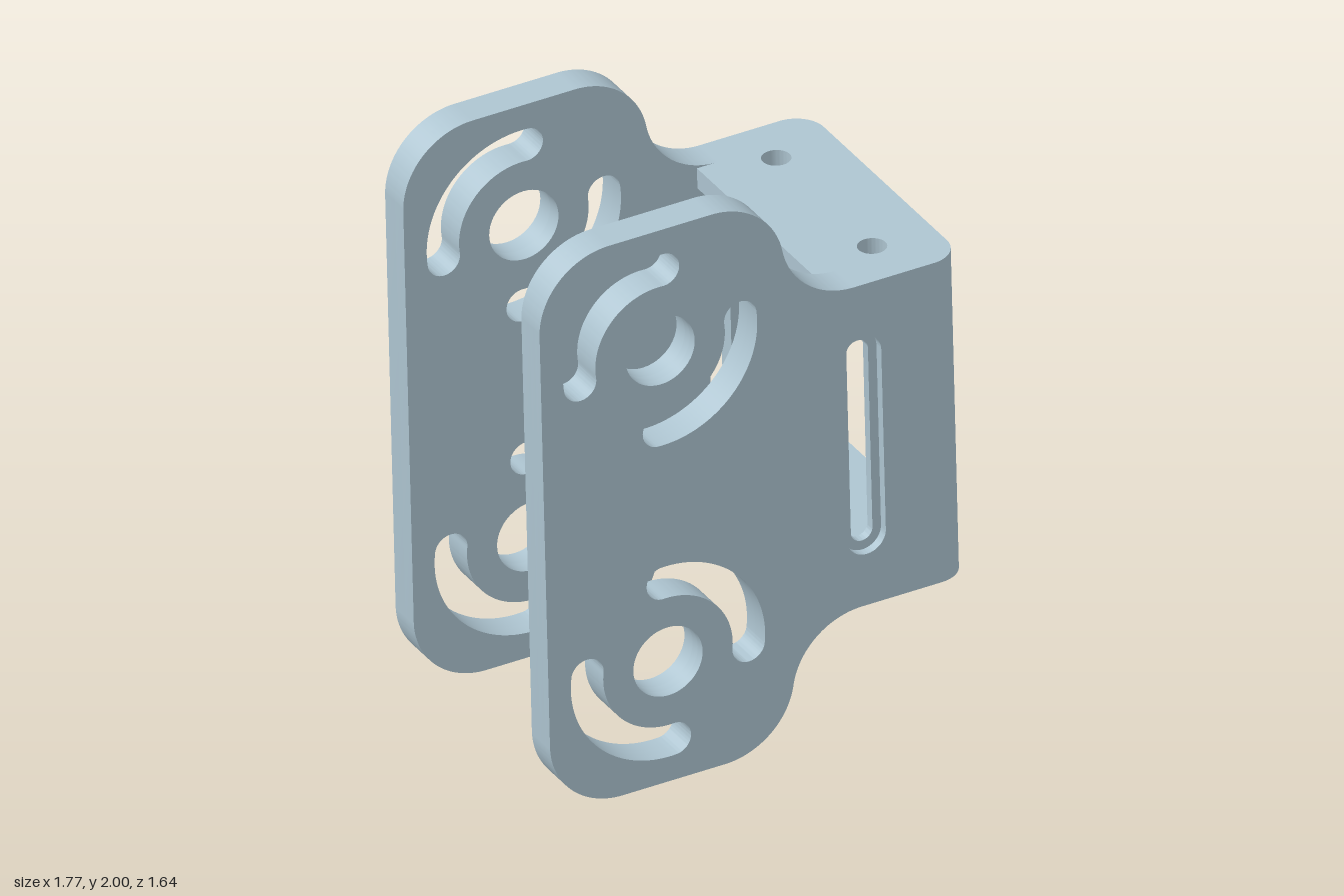
import * as THREE from 'three';
import { toCreasedNormals } from 'three/addons/utils/BufferGeometryUtils.js';

const PI = Math.PI;
// Local axes: x runs from the open end to the back, y up, z across the bracket
const FRONT = -0.71, BEND = 0.675, BACK = 0.775;
const TALL = 0.99, NECK = 0.575, POCKET_H = 0.503;
const HALF_W = 0.493, INNER = 0.377, POCKET_W = 0.43, RECESS = 0.462;
const HOLE_X = -0.29, HOLE_Y = 0.56, SLOT_X = 0.415;

// Side plate outline; the pocketed version leaves only thin strips along the neck
function plateOutline(pocketed) {
  const r = 0.25, cy = TALL - r, cx = -0.1;
  const phi = Math.acos(1 - (TALL - NECK) / (2 * r));
  const cx2 = cx + 2 * r * Math.sin(phi), cy2 = NECK + r;
  const s = new THREE.Shape();
  s.moveTo(FRONT + r, -TALL);
  s.absarc(cx, -cy, r, -PI / 2, -PI / 2 + phi, false);
  s.absarc(cx2, -cy2, r, PI / 2 + phi, PI / 2, true);
  s.lineTo(BEND, -NECK);
  if (pocketed) {
    s.lineTo(BEND, -POCKET_H);
    s.lineTo(0.13, -POCKET_H);
    s.lineTo(0.13, POCKET_H);
    s.lineTo(BEND, POCKET_H);
  }
  s.lineTo(BEND, NECK);
  s.absarc(cx2, cy2, r, -PI / 2, -PI / 2 - phi, true);
  s.absarc(cx, cy, r, PI / 2 - phi, PI / 2, false);
  s.absarc(FRONT + r, cy, r, PI / 2, PI, false);
  s.absarc(FRONT + r, -cy, r, PI, PI * 1.5, false);
  return s;
}

function circleHole(x, y, r) {
  return new THREE.Path().absarc(x, y, r, 0, PI * 2, false);
}

// Curved slot around a pivot hole
function arcSlot(x, y, a0, a1) {
  const R = 0.285, w = 0.057;
  const p = new THREE.Path();
  p.absarc(x, y, R + w, a0, a1, false);
  p.absarc(x + R * Math.cos(a1), y + R * Math.sin(a1), w, a1, a1 + PI, false);
  p.absarc(x, y, R - w, a1, a0, true);
  p.absarc(x + R * Math.cos(a0), y + R * Math.sin(a0), w, a0 + PI, a0 + PI * 2, false);
  return p;
}

// Straight upright slot in the neck
function neckSlot(halfHeight, w) {
  const p = new THREE.Path();
  p.absarc(SLOT_X, halfHeight - w, w, 0, PI, false);
  p.absarc(SLOT_X, -halfHeight + w, w, PI, PI * 2, false);
  return p;
}

function extrude(shape, depth) {
  return new THREE.ExtrudeGeometry(shape, { depth, bevelEnabled: false, curveSegments: 24 });
}

export function createModel() {
  const steel = new THREE.MeshStandardMaterial({ color: 0xadc4d0 });
  steel.name = 'blueGreySteel';
  const bracket = new THREE.Group();
  bracket.name = 'bracket';

  function add(name, geometry) {
    const mesh = new THREE.Mesh(toCreasedNormals(geometry, 0.5), steel);
    mesh.name = name;
    bracket.add(mesh);
  }

  // One layer of a side plate between two distances from the middle
  function plateLayer(name, side, from, to, slot) {
    const shape = plateOutline(!slot);
    for (const s of [1, -1]) {
      const y = s * HOLE_Y;
      shape.holes.push(circleHole(HOLE_X, y, 0.122));
      for (const [a0, a1] of [[1.51, 3.27], [-1.61, 0.11]]) {
        shape.holes.push(s > 0 ? arcSlot(HOLE_X, y, a0, a1) : arcSlot(HOLE_X, y, -a1, -a0));
      }
    }
    if (slot) shape.holes.push(slot);
    const g = extrude(shape, to - from);
    g.translate(0, 0, side > 0 ? from : -to);
    add(name, g);
  }

  // Side plates: pocketed inside, the right-hand one with a recessed slot
  plateLayer('frontPlateInner', 1, INNER, POCKET_W, null);
  plateLayer('frontPlateMiddle', 1, POCKET_W, RECESS, neckSlot(0.36, 0.038));
  plateLayer('frontPlateOuter', 1, RECESS, HALF_W, neckSlot(0.392, 0.068));
  plateLayer('rearPlateInner', -1, INNER, POCKET_W, null);
  plateLayer('rearPlateOuter', -1, POCKET_W, HALF_W, neckSlot(0.36, 0.038));

  // Top and bottom webs with rounded back corners and screw holes
  const r = BACK - BEND;
  const web = new THREE.Shape();
  web.moveTo(0.32, -INNER);
  web.lineTo(BEND, -INNER);
  web.lineTo(BEND, -HALF_W);
  web.absarc(BEND, -HALF_W + r, r, -PI / 2, 0, false);
  web.absarc(BEND, HALF_W - r, r, 0, PI / 2, false);
  web.lineTo(BEND, INNER);
  web.lineTo(0.32, INNER);
  web.closePath();
  for (const s of [1, -1]) web.holes.push(circleHole(0.56, s * 0.306, 0.047));
  for (const [name, y] of [['topWeb', POCKET_H], ['bottomWeb', -NECK]]) {
    add(name, extrude(web, NECK - POCKET_H).rotateX(-PI / 2).translate(0, y, 0));
  }

  // Rounded back edges of the two side walls, between the webs
  const arcEnd = Math.asin((POCKET_W - HALF_W + r) / r);
  for (const s of [1, -1]) {
    const edge = new THREE.Shape();
    edge.moveTo(BEND, s * HALF_W);
    edge.absarc(BEND, s * (HALF_W - r), r, s * PI / 2, s * arcEnd, s > 0);
    edge.lineTo(BEND, s * POCKET_W);
    edge.closePath();
    add(s > 0 ? 'rearPlateEdge' : 'frontPlateEdge',
      extrude(edge, 2 * POCKET_H).rotateX(-PI / 2).translate(0, -POCKET_H, 0));
  }

  // Turned and slightly tilted stance
  bracket.rotation.set(0, 0.652, 0.022, 'ZYX');
  bracket.position.y = 1.004;
  const model = new THREE.Group();
  model.name = 'mountingBracket';
  model.add(bracket);
  return model;
}
